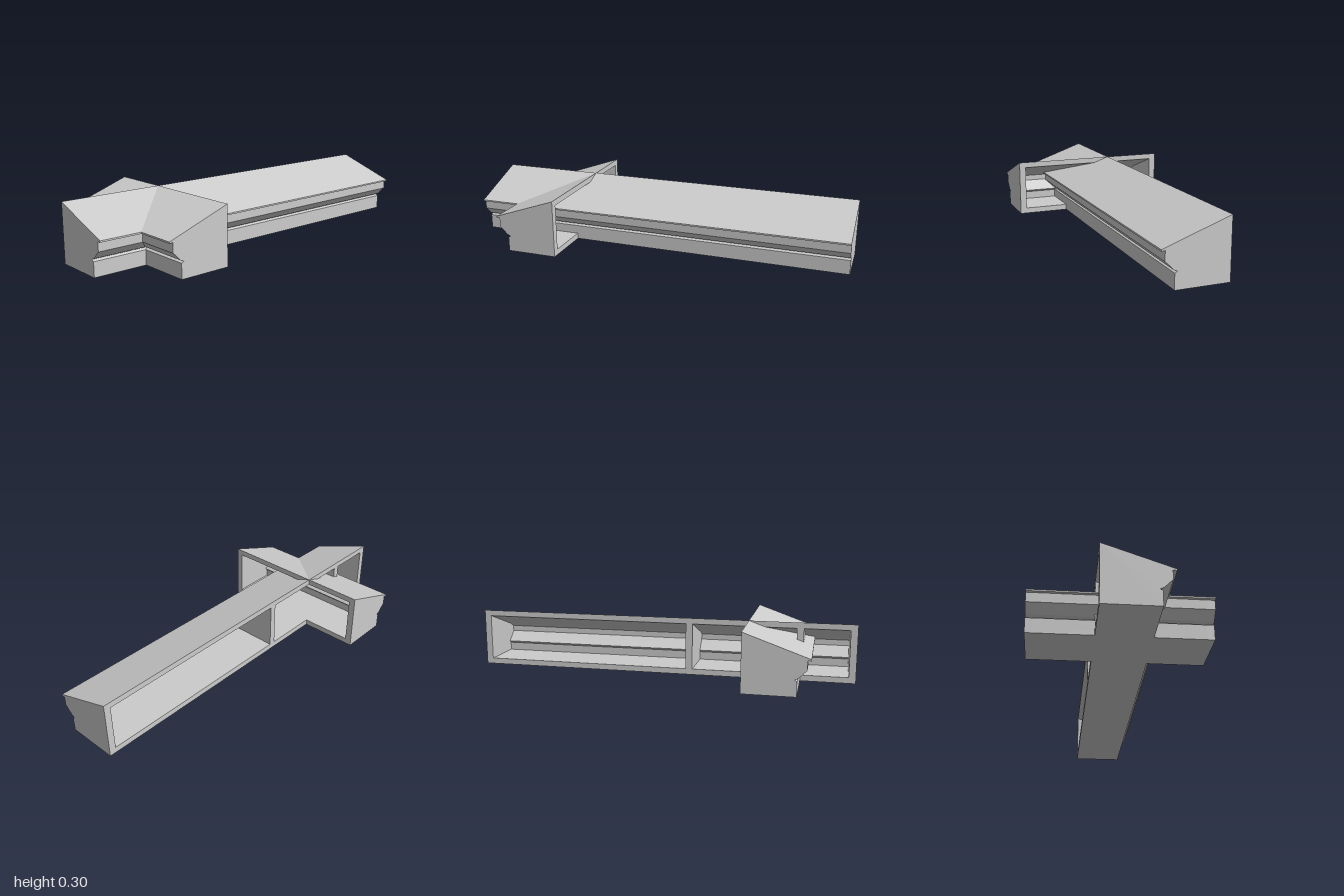
import * as THREE from 'three';

const T = 0.035; // thickness of end walls and dividers

// Front moulding, from the base up to the eave lip (depth, height)
const moulding = [
  [0.15, 0], [0.15, 0.075], [0.137, 0.083], [0.155, 0.09], [0.187, 0.123],
  [0.195, 0.13], [0.195, 0.178], [0.213, 0.176], [0.213, 0.184],
];
// Inside of the shell, from the roof down to the floor
const inside = [
  [-0.115, 0.27], [0.13, 0.183], [0.163, 0.165], [0.163, 0.135], [0.122, 0.096],
  [0.108, 0.083], [0.12, 0.072], [0.12, 0.03], [-0.115, 0.03],
];

const toShape = (pts) => new THREE.Shape(pts.map(([d, h]) => new THREE.Vector2(d, h)));
const solidShape = toShape([[-0.115, 0], ...moulding, [-0.115, 0.3]]);
const shellShape = toShape([[-0.115, 0], ...moulding, [-0.115, 0.3], ...inside]);
const innerShape = toShape(inside);

// Hollow eave beam along local z, open at the back, closed at both ends
function eaveBeam(name, length, dividers) {
  const material = new THREE.MeshStandardMaterial({ color: 0xcccccc, flatShading: true });
  const beam = new THREE.Group();
  beam.name = name;
  const add = (partName, shape, start, depth) => {
    const geometry = new THREE.ExtrudeGeometry(shape, { depth, bevelEnabled: false });
    const mesh = new THREE.Mesh(geometry, material);
    mesh.name = partName;
    mesh.position.z = start;
    beam.add(mesh);
  };
  add('roofAndMouldingShell', shellShape, T, length - 2 * T);
  add('endWall', solidShape, 0, T);
  add('endWall', solidShape, length - T, T);
  for (const d of dividers) add('divider', innerShape, d - T / 2, T);
  return beam;
}

export function createModel() {
  const model = new THREE.Group();
  model.name = 'crossedEaves';

  // Long beam running along x, moulding facing the front
  const main = eaveBeam('longBeam', 2, [1.15, 1.72]);
  main.rotation.y = -Math.PI / 2;
  main.position.x = 1;

  // Short beam crossing it along z, moulding facing -x
  const cross = eaveBeam('crossBeam', 0.85, []);
  cross.rotation.y = Math.PI;
  cross.position.set(-0.575, 0, 0.425);

  model.add(main, cross);
  return model;
}
